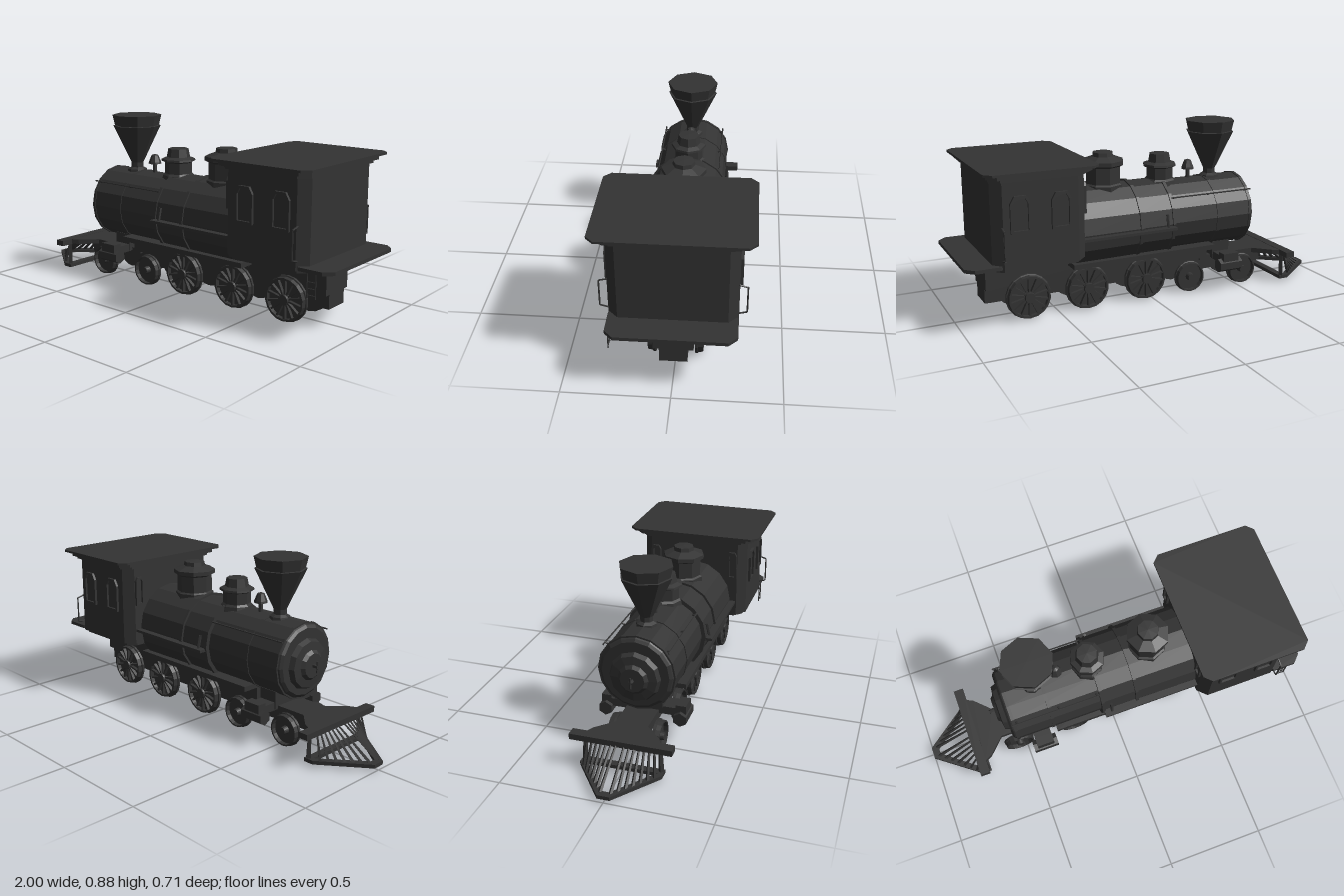
import * as THREE from 'three';

const iron = new THREE.MeshStandardMaterial({ color: 0x333333, flatShading: true });
iron.name = 'dark iron';

export function createModel() {
  const model = new THREE.Group();
  model.name = 'steamLocomotive';

  const add = (name, geo, x = 0, y = 0, z = 0) => {
    const m = new THREE.Mesh(geo, iron);
    m.name = name;
    m.position.set(x, y, z);
    model.add(m);
    return m;
  };
  // box from its limits
  const box = (name, x0, x1, y0, y1, z0, z1) =>
    add(name, new THREE.BoxGeometry(x1 - x0, y1 - y0, z1 - z0), (x0 + x1) / 2, (y0 + y1) / 2, (z0 + z1) / 2);
  // lathe around a vertical axis, points are [radius, height]
  const turned = (pts, sides) => new THREE.LatheGeometry(pts.map(p => new THREE.Vector2(...p)), sides);
  // lathe around the boiler axis, points are [radius, x]
  const alongX = (pts, sides) => turned(pts, sides).rotateZ(-Math.PI / 2);
  // horizontal plate from an outline of [x, z], between two heights
  const plate = (name, outline, y0, y1) => {
    const s = new THREE.Shape(outline.map(([x, z]) => new THREE.Vector2(x, -z)));
    const g = new THREE.ExtrudeGeometry(s, { depth: y1 - y0, bevelEnabled: false }).rotateX(-Math.PI / 2);
    return add(name, g, 0, y0, 0);
  };
  // rectangle with cut corners
  const cut = (x0, x1, h, c) => [[x0 + c, h], [x1 - c, h], [x1, h - c], [x1, c - h],
    [x1 - c, -h], [x0 + c, -h], [x0, c - h], [x0, h - c]];
  // straight bar between two points
  const bar = (name, a, b, r0, r1 = r0, sides = 5) => {
    const p = new THREE.Vector3(...a), q = new THREE.Vector3(...b);
    const m = add(name, new THREE.CylinderGeometry(r1, r0, p.distanceTo(q), sides));
    m.position.copy(p).lerp(q, 0.5);
    m.quaternion.setFromUnitVectors(new THREE.Vector3(0, 1, 0), q.sub(p).normalize());
    return m;
  };

  // frame, deck and running board
  box('lowerFrame', -0.68, 0.865, 0.095, 0.17, -0.064, 0.064);
  box('upperFrame', -0.33, 0.865, 0.165, 0.31, -0.092, 0.092);
  box('lowerBoard', -0.33, 0.45, 0.235, 0.26, -0.178, 0.178);
  box('smokeboxSaddle', -0.46, -0.36, 0.16, 0.25, -0.1, 0.1);
  plate('frontDeck', [[-0.74, 0.18], [-0.7, 0.16], [-0.62, 0.08], [-0.3, 0.08],
    [-0.3, -0.08], [-0.62, -0.08], [-0.7, -0.16], [-0.74, -0.18]], 0.15, 0.175);

  // boiler and smokebox with door
  const axisY = 0.405;
  add('boiler', alongX([[0, -0.56], [0.165, -0.56], [0.178, -0.55], [0.186, -0.535], [0.186, -0.08],
    [0.2, -0.08], [0.2, 0.1], [0.203, 0.1], [0.207, 0.43], [0, 0.43]], 16), 0, axisY, 0);
  add('smokeboxDoor', alongX([[0, -0.605], [0.06, -0.605], [0.075, -0.59], [0.115, -0.585], [0.128, -0.555], [0, -0.55]], 12), 0, 0.395, 0);
  bar('doorHandle', [-0.632, 0.395, 0], [-0.6, 0.395, 0], 0.01);
  bar('doorLever', [-0.628, 0.365, 0], [-0.628, 0.42, 0], 0.005);
  for (const [x, r] of [[-0.535, 0.19], [-0.345, 0.19], [-0.08, 0.207], [0.1, 0.211]]) {
    add('boilerBand', alongX([[r - 0.02, x - 0.008], [r, x - 0.008], [r, x + 0.008], [r - 0.02, x + 0.008]], 16), 0, axisY, 0);
  }

  // chimney, bell and domes
  add('chimney', turned([[0.055, 0.57], [0.05, 0.595], [0.032, 0.605], [0.032, 0.63], [0.126, 0.828],
    [0.117, 0.83], [0.13, 0.885], [0, 0.885]], 8), -0.388, 0, 0);
  add('bell', turned([[0.012, 0.58], [0.01, 0.635], [0.034, 0.635], [0.032, 0.645], [0.018, 0.68], [0, 0.687]], 8), -0.26, 0, 0);
  add('sandDome', turned([[0.085, 0.57], [0.08, 0.595], [0.07, 0.605], [0.07, 0.662], [0.088, 0.67],
    [0.086, 0.68], [0.06, 0.69], [0.052, 0.732], [0, 0.735]], 8), -0.095, 0, 0);
  add('steamDome', turned([[0.1, 0.575], [0.1, 0.605], [0.09, 0.612], [0.09, 0.695], [0.108, 0.705],
    [0.108, 0.725], [0.055, 0.745], [0.052, 0.765], [0, 0.768]], 8), 0.22, 0, 0);

  // cab with stepped eaves, roof and rear platform
  plate('cabSill', cut(0.43, 0.86, 0.268, 0.04), 0.305, 0.325);
  plate('cabBody', cut(0.42, 0.87, 0.288, 0.045), 0.32, 0.735);
  plate('lowerEave', cut(0.41, 0.88, 0.308, 0.045), 0.73, 0.748);
  plate('upperEave', cut(0.395, 0.895, 0.328, 0.04), 0.745, 0.768);
  plate('roof', cut(0.375, 0.917, 0.355, 0.035), 0.766, 0.777);
  plate('rearPlatform', cut(0.8, 1, 0.288, 0.04), 0.325, 0.342);

  // arched window frame with a thin pane, lying in the xy plane
  const arch = (path, w, h) => {
    path.moveTo(-w, 0); path.lineTo(w, 0); path.lineTo(w, h - w * 0.7);
    path.lineTo(w * 0.6, h); path.lineTo(-w * 0.6, h); path.lineTo(-w, h - w * 0.7);
    path.closePath();
    return path;
  };
  const windowAt = (x, y, z, w, h, turn) => {
    const s = arch(new THREE.Shape(), w, h);
    const hole = arch(new THREE.Path(), w - 0.012, h - 0.024);
    s.holes.push(new THREE.Path(hole.getPoints().map(p => p.add(new THREE.Vector2(0, 0.012)))));
    const f = add('windowFrame', new THREE.ExtrudeGeometry(s, { depth: 0.013, bevelEnabled: false }), x, y, z);
    f.rotation.y = turn;
    const pane = add('windowPane', new THREE.ShapeGeometry(arch(new THREE.Shape(), w - 0.006, h - 0.006)), x, y, z);
    pane.rotation.y = turn;
    pane.translateZ(0.002);
  };

  for (const s of [1, -1]) {
    for (const x of [0.55, 0.745]) windowAt(x, 0.49, s * 0.288, 0.048, 0.172, s > 0 ? 0 : Math.PI);
    windowAt(0.42, 0.53, s * 0.215, 0.026, 0.15, -Math.PI / 2);

    // cab grab rail
    const z0 = s * 0.285, z1 = s * 0.323, x = 0.83;
    bar('grabRail', [x, 0.375, z1], [x, 0.51, z1], 0.004);
    bar('grabRail', [x, 0.365, z0], [x, 0.375, z1], 0.004);
    bar('grabRail', [x, 0.52, z0], [x, 0.51, z1], 0.004);

    // side walkway, its pipe and the boiler handrail
    box('sideWalkway', -0.08, 0.43, 0.385, 0.398, Math.min(s * 0.18, s * 0.238), Math.max(s * 0.18, s * 0.238));
    bar('walkwayPipe', [-0.04, 0.46, s * 0.2], [-0.04, 0.395, s * 0.215], 0.008);
    bar('handrail', [-0.55, 0.53, s * 0.158], [-0.08, 0.53, s * 0.158], 0.004);
    for (const px of [-0.52, -0.3, -0.1]) bar('handrailPost', [px, 0.52, s * 0.13], [px, 0.53, s * 0.16], 0.005);

    // steam cylinder and valve chest
    const cyl = add('steamCylinder', new THREE.CylinderGeometry(0.036, 0.036, 0.13, 6).rotateZ(Math.PI / 2), -0.41, 0.145, s * 0.188);
    cyl.rotation.x = Math.PI / 6;
    add('valveChest', new THREE.BoxGeometry(0.09, 0.045, 0.05), -0.41, 0.188, s * 0.188);
    add('cylinderSupport', new THREE.BoxGeometry(0.09, 0.04, 0.12), -0.41, 0.175, s * 0.12);
  }

  // ladder at the rear corner
  for (const x of [0.882, 0.925]) bar('ladderRail', [x, 0.212, 0.28], [x, 0.33, 0.28], 0.003);
  for (const y of [0.225, 0.255, 0.285]) bar('ladderRung', [0.882, y, 0.28], [0.925, y, 0.28], 0.003);

  // wheels: rim, web, hub and spokes, outer face towards +z
  const wheel = (name, x, r, spokes, s) => {
    const g = new THREE.Group();
    g.name = name;
    const rim = r * 0.84;
    const body = new THREE.Mesh(turned([[0, 0], [r, 0], [r, 0.012], [r * 0.95, 0.014], [r * 0.93, 0.036], [rim, 0.036],
      [rim, 0.014], [r * 0.25, 0.014], [r * 0.22, 0.042], [0, 0.042]], 18).rotateX(Math.PI / 2), iron);
    body.name = 'wheelBody';
    g.add(body);
    for (let i = 0; i < spokes; i++) {
      const spoke = new THREE.Mesh(new THREE.BoxGeometry(r * 0.08, rim, 0.018).translate(0, rim / 2, 0.022), iron);
      spoke.name = 'spoke';
      spoke.rotation.z = i / spokes * Math.PI * 2;
      g.add(spoke);
    }
    g.position.set(x, r, s * 0.092);
    if (s < 0) g.rotation.y = Math.PI;
    model.add(g);
  };
  for (const s of [1, -1]) {
    for (const x of [0.037, 0.355, 0.66]) wheel('drivingWheel', x, 0.113, 14, s);
    for (const x of [-0.535, -0.22]) wheel('leadingWheel', x, 0.082, 0, s);
  }
  for (const x of [0.037, 0.355, 0.66]) bar('axle', [x, 0.113, -0.1], [x, 0.113, 0.1], 0.02);
  for (const x of [-0.535, -0.22]) bar('axle', [x, 0.082, -0.1], [x, 0.082, 0.1], 0.018);

  // pilot: beam, pointed base frame and fanned slats
  box('pilotBeam', -0.785, -0.735, 0.148, 0.177, -0.246, 0.246);
  box('pilotRearBar', -0.765, -0.73, 0.017, 0.035, -0.198, 0.198);
  for (const s of [1, -1]) {
    plate('pilotBase', s > 0
      ? [[-1, 0], [-1, 0.03], [-0.78, 0.198], [-0.73, 0.198], [-0.77, 0.17], [-0.965, 0.015], [-0.965, 0]]
      : [[-1, 0], [-0.965, 0], [-0.965, -0.015], [-0.77, -0.17], [-0.73, -0.198], [-0.78, -0.198], [-1, -0.03]], 0.017, 0.035);
    bar('pilotPost', [-0.745, 0.025, s * 0.185], [-0.745, 0.16, s * 0.18], 0.014, 0.01, 4);
    for (let i = 0; i < 7; i++) {
      const t = (i + 0.4) / 7;
      bar('pilotSlat', [-0.985 + 0.2 * t, 0.03, s * (0.015 + 0.17 * t)], [-0.77, 0.16, s * (0.01 + 0.165 * t)], 0.009, 0.005, 4);
    }
  }
  return model;
}
